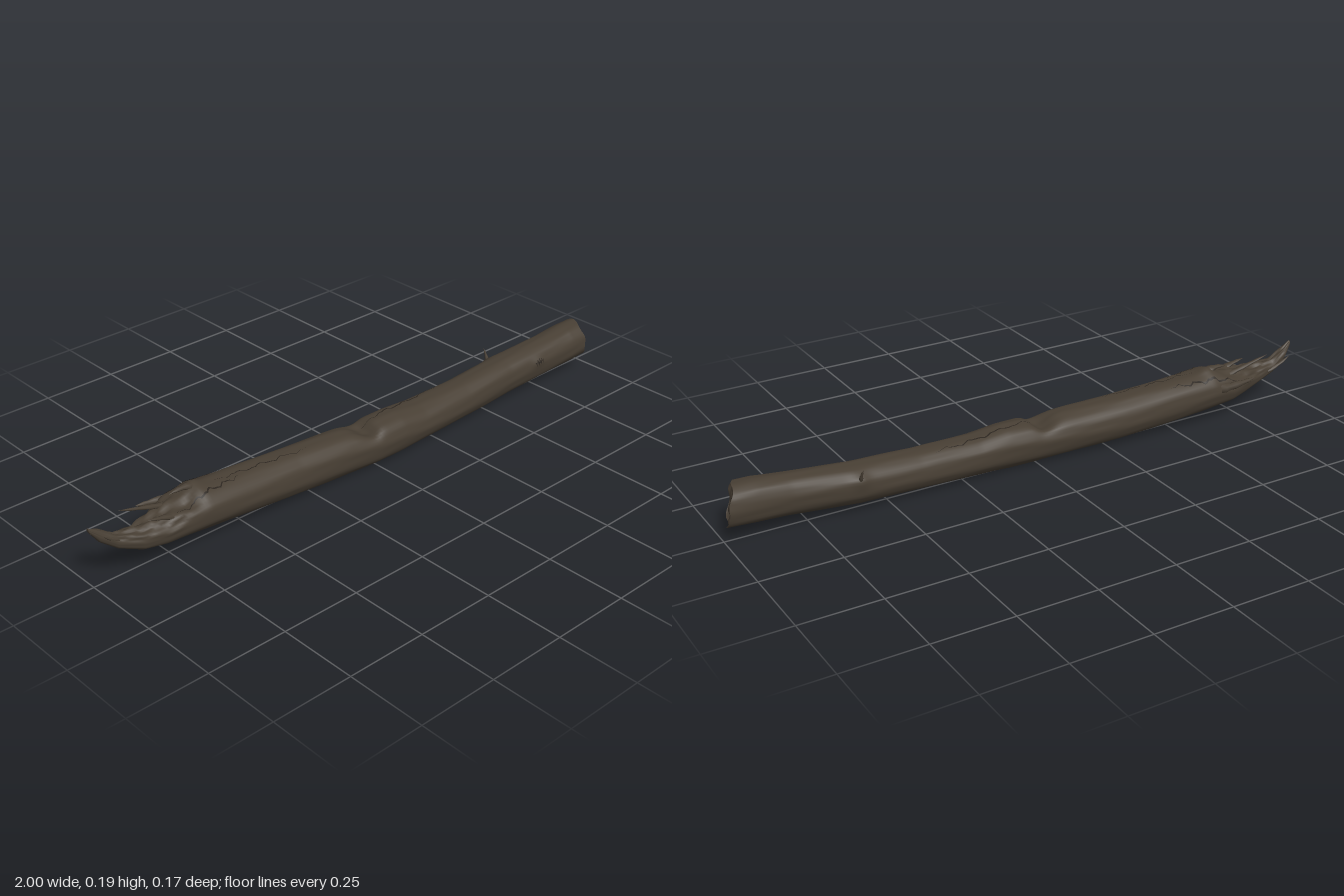
import * as THREE from 'three';

// Stations along the log: x, bottom y, top y, back z, front z
const STATIONS = [
  [-1.0, 0.178, 0.19, -0.006, 0.006], [-0.97, 0.135, 0.172, -0.02, 0.012],
  [-0.92, 0.095, 0.138, -0.024, 0.022], [-0.85, 0.066, 0.13, -0.033, 0.045],
  [-0.78, 0.054, 0.138, -0.058, 0.058], [-0.72, 0.047, 0.15, -0.08, 0.061],
  [-0.64, 0.04, 0.166, -0.086, 0.066], [-0.5, 0.028, 0.158, -0.082, 0.066],
  [-0.3, 0.014, 0.147, -0.076, 0.068], [-0.1, 0.005, 0.14, -0.064, 0.076],
  [0.0, 0.002, 0.137, -0.058, 0.083], [0.1, 0.004, 0.138, -0.055, 0.083],
  [0.2, 0.01, 0.128, -0.056, 0.081], [0.4, 0.015, 0.13, -0.055, 0.073],
  [0.6, 0.021, 0.141, -0.058, 0.066], [0.8, 0.034, 0.156, -0.042, 0.074],
  [0.9, 0.039, 0.165, -0.042, 0.077], [0.97, 0.045, 0.166, -0.042, 0.078],
];

const smooth = (a, b, x) => THREE.MathUtils.smoothstep(x, a, b);
const bump = (x, c, w) => Math.exp(-(((x - c) / w) ** 2));

function station(x) {
  let i = 0;
  while (i < STATIONS.length - 2 && x > STATIONS[i + 1][0]) i++;
  const a = STATIONS[i], b = STATIONS[i + 1];
  const t = (x - a[0]) / (b[0] - a[0]);
  return a.map((v, k) => v + (b[k] - v) * t);
}

// Point on the bark at length x and angle a (0 = front, PI/2 = top)
function surface(x, a, lift = 0) {
  const [, y0, y1, z0, z1] = station(x);
  const ry = (y1 - y0) / 2, rz = (z1 - z0) / 2;
  const broken = 1 - smooth(-0.8, -0.6, x);
  const up = Math.max(0, Math.sin(a));
  // slightly squared section with shallow grain and lumps
  const grain = 0.012 * Math.sin(9 * a + 3 * Math.sin(4 * x)) + 0.012 * Math.sin(3 * a + 9 * x)
    + 0.008 * Math.sin(14 * a - 7 * x) * Math.sin(23 * x);
  const tear = broken * up * (0.12 * Math.sin(7 * a + 40 * x) + 0.08 * Math.sin(13 * a - 65 * x));
  const k = 1 + 0.025 * (1 - Math.cos(4 * a)) + grain + tear;
  let y = (y0 + y1) / 2 + ry * k * Math.sin(a);
  const z = (z0 + z1) / 2 + rz * k * Math.cos(a);
  // notch in the top, torn patch near the broken end, knots
  y -= 0.032 * up ** 3 * bump(x, -0.02, x < -0.02 ? 0.045 : 0.025);
  y += 0.014 * up ** 3 * bump(x, -0.645, 0.035) * bump(a, 1.75, 0.6);
  y -= 0.014 * bump(x, -0.69, 0.03) * bump(a, 1.2, 0.4);
  const knot = 0.006 * (bump(x, 0.72, 0.025) * bump(a, 0.35, 0.22)
    + bump(x, 0.6, 0.025) * bump(a, 2.7, 0.35));
  // slanted sawn end
  const end = smooth(0.85, 0.97, x);
  const dx = end * (-0.35 * (z - 0.015) - 0.2 * (y - 0.1) + 0.004 * Math.sin(5 * a));
  return new THREE.Vector3(x + dx, Math.max(0, y + (knot + lift) * Math.sin(a)),
    z + (knot + lift) * Math.cos(a));
}

// Closed rings joined into a skin; grid[i][j] wraps in j
function skin(grid) {
  const n = grid[0].length, pos = [], idx = [];
  grid.forEach(row => row.forEach(p => pos.push(p.x, p.y, p.z)));
  for (let i = 0; i < grid.length - 1; i++) {
    for (let j = 0; j < n; j++) {
      const a = i * n + j, b = i * n + (j + 1) % n;
      idx.push(a, a + n, b, b, a + n, b + n);
    }
  }
  const g = new THREE.BufferGeometry();
  g.setAttribute('position', new THREE.Float32BufferAttribute(pos, 3));
  g.setIndex(idx);
  g.computeVertexNormals();
  return g;
}

export function createModel() {
  const group = new THREE.Group();
  const bark = new THREE.MeshStandardMaterial({ color: 0x483f34 });
  bark.name = 'bark';
  const wood = new THREE.MeshStandardMaterial({ color: 0x453c32 });
  wood.name = 'endWood';
  const dark = new THREE.MeshStandardMaterial({ color: 0x2b251f, side: THREE.DoubleSide });
  dark.name = 'crackShade';

  const add = (name, geometry, material) => {
    const mesh = new THREE.Mesh(geometry, material);
    mesh.name = name;
    group.add(mesh);
    return mesh;
  };

  const SEG = 200, SIDES = 48;
  const angle = j => (j / SIDES) * Math.PI * 2;
  const ring = x => Array.from({ length: SIDES }, (_, j) => surface(x, angle(j)));

  // Log body, closed at the pointed broken tip
  const rows = Array.from({ length: SEG + 1 }, (_, i) => ring(-1 + 1.97 * i / SEG));
  const tip = new THREE.Vector3(-1, 0.186, 0);
  rows.unshift(rows[0].map(() => tip));
  add('log', skin(rows), bark);

  // Rough end face, slightly hollowed towards its middle
  const rim = ring(0.97);
  const centre = new THREE.Vector3(0.962, 0.105, 0.018);
  const face = [1, 0.93, 0.75, 0.5, 0.25, 0].map((f, i) => rim.map((p, j) => {
    const q = centre.clone().lerp(p, f);
    if (i) q.x += f * (0.006 * Math.sin(angle(j) * 4 + i * 2) - 0.006);
    return q;
  }));
  add('endFace', skin(face), wood);

  // Splinters: tapering bent shards, root to tip
  const splinter = (name, root, mid, end, radius, flat = 0.6) => {
    const curve = new THREE.QuadraticBezierCurve3(...[root, mid, end].map(p => new THREE.Vector3(...p)));
    const grid = Array.from({ length: 9 }, (_, i) => {
      const t = i / 8, p = curve.getPoint(t), d = curve.getTangent(t);
      const side = new THREE.Vector3(0, 0, 1).addScaledVector(d, -d.z).normalize();
      const up = new THREE.Vector3().crossVectors(d, side);
      const r = radius * (1 - t) ** 0.7 * (1 + 0.15 * Math.sin(i * 2.3));
      return Array.from({ length: 7 }, (_, j) => {
        const a = (j / 7) * Math.PI * 2;
        return p.clone().addScaledVector(side, r * Math.cos(a)).addScaledVector(up, -r * flat * Math.sin(a));
      });
    });
    add(name, skin(grid), bark).material.side = THREE.DoubleSide;
  };
  splinter('topSplinter', [-0.72, 0.135, -0.025], [-0.8, 0.155, -0.03], [-0.88, 0.178, -0.035], 0.014);
  splinter('backSplinter', [-0.66, 0.115, -0.073], [-0.74, 0.122, -0.085], [-0.795, 0.133, -0.084], 0.014, 1.2);
  splinter('frontSplinter', [-0.72, 0.125, 0.03], [-0.78, 0.145, 0.03], [-0.83, 0.153, 0.028], 0.018, 0.5);
  splinter('middleSplinter', [-0.62, 0.155, -0.02], [-0.66, 0.18, -0.02], [-0.72, 0.168, -0.022], 0.022, 0.6);
  splinter('tipSplinter', [-0.88, 0.11, 0.005], [-0.94, 0.13, 0.012], [-0.965, 0.158, 0.016], 0.014);
  splinter('lowTipSplinter', [-0.86, 0.1, -0.01], [-0.93, 0.115, -0.025], [-0.98, 0.15, -0.028], 0.016);
  splinter('twigStub', [0.6, 0.1, -0.05], [0.605, 0.125, -0.06], [0.6, 0.15, -0.07], 0.008, 1);

  // Cracks: thin wandering strips lying on the bark
  const crack = (name, x0, x1, a0, a1, width) => {
    const n = 30, pos = [], idx = [];
    for (let i = 0; i <= n; i++) {
      const t = i / n, x = x0 + (x1 - x0) * t;
      const a = a0 + (a1 - a0) * t + 0.07 * Math.sin(i * 0.9) + 0.04 * Math.sin(i * 2.1);
      const w = width * Math.sin(Math.PI * t);
      for (const s of [-w, w]) pos.push(...surface(x, a + s, 0.0012).toArray());
      if (i < n) idx.push(2 * i, 2 * i + 2, 2 * i + 1, 2 * i + 1, 2 * i + 2, 2 * i + 3);
    }
    const g = new THREE.BufferGeometry();
    g.setAttribute('position', new THREE.Float32BufferAttribute(pos, 3));
    g.setIndex(idx);
    g.computeVertexNormals();
    add(name, g, dark);
  };
  crack('notchCrack', -0.03, 0.36, 1.7, 2.1, 0.035);
  crack('backCrack', -0.74, -0.48, 2.5, 2.1, 0.05);
  crack('frontCrack', -0.74, -0.5, 0.9, 1.25, 0.04);
  crack('topCrack', -0.6, -0.25, 1.5, 1.3, 0.025);
  crack('knotCrack', 0.7, 0.74, 0.3, 0.38, 0.1);
  return group;
}
